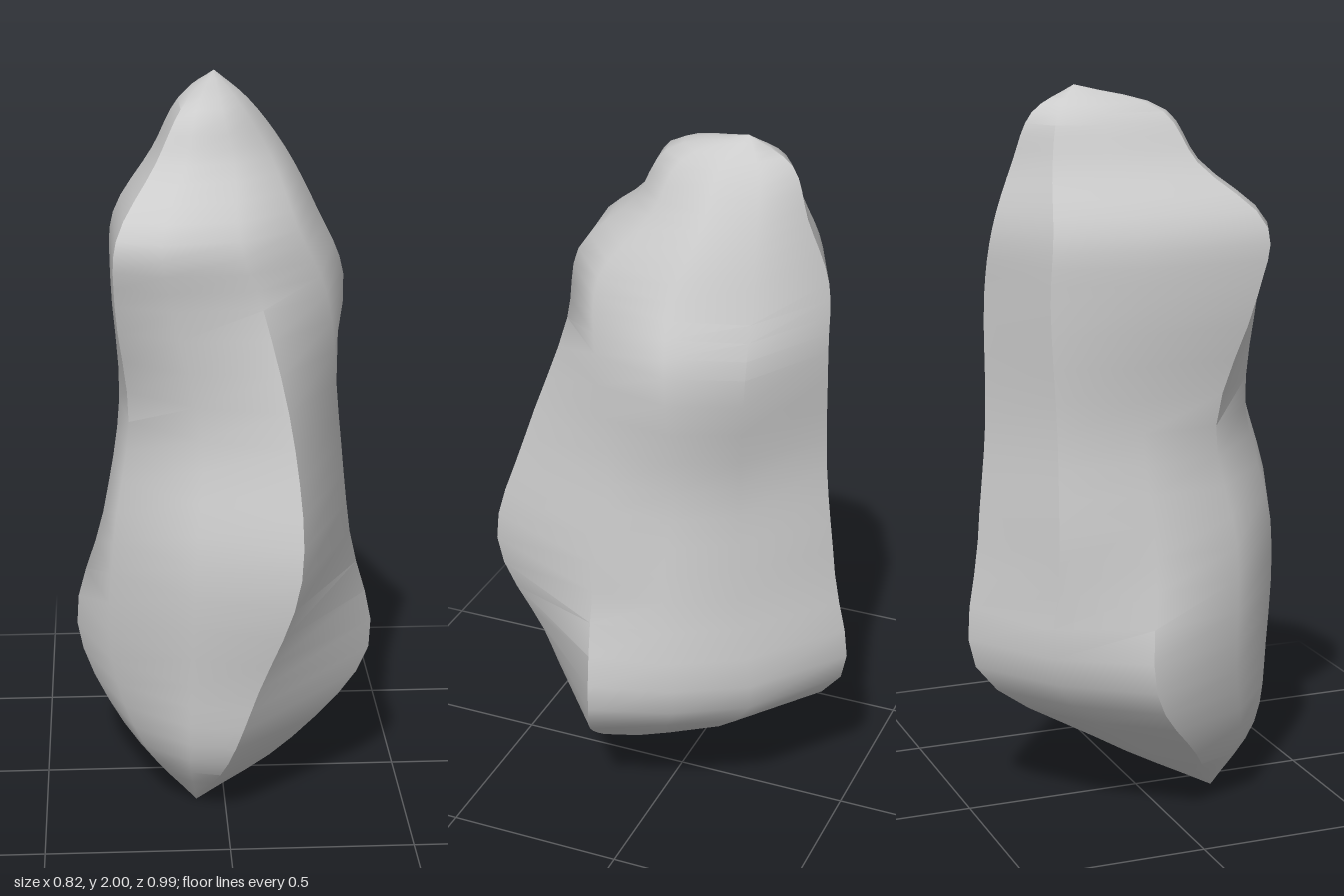
import * as THREE from 'three';
import { toCreasedNormals } from 'three/addons/utils/BufferGeometryUtils.js';

const { lerp, smoothstep } = THREE.MathUtils;

// Corner positions inside a section's bounds (0..1 in x and z), counter-clockwise from the front ridge
const FOOT_PLAN = [[0.6, 1], [1, 0.67], [0.91, 0.42], [0.78, 0.21], [0.48, 0], [0.2, 0.18], [0, 0.43], [0.12, 0.74], [0.38, 0.95]];
const LOWER_PLAN = [[0.76, 1], [1, 0.61], [0.98, 0.4], [0.84, 0.21], [0.5, 0], [0.07, 0.14], [0, 0.41], [0.04, 0.67], [0.36, 0.88]];
const UPPER_PLAN = [[0.58, 0.96], [0.87, 0.78], [1, 0.46], [0.9, 0.18], [0.51, 0], [0.12, 0.13], [0, 0.44], [0.01, 0.93], [0.22, 1]];

// Bounds at each height: y, right x, left x, back z, front z
const SECTIONS = [
  [0, -0.08, -0.08, 0.2, 0.2],
  [0.18, -0.28, 0.19, -0.14, 0.35],
  [0.42, -0.41, 0.41, -0.48, 0.405],
  [0.77, -0.33, 0.35, -0.46, 0.49],
  [1.1, -0.28, 0.32, -0.43, 0.4],
  [1.45, -0.3, 0.345, -0.425, 0.32],
  [1.63, -0.29, 0.27, -0.41, 0.315],
  [1.8, -0.18, 0.18, -0.35, 0.14],
  [1.93, -0.11, 0.08, -0.3, 0.06],
  [2, -0.01, -0.01, -0.18, -0.18],
];
const STEPS = (SECTIONS.length - 1) * 4;

// Smooth vertical line through the same corner of every section
function columnPoints(c) {
  const keys = SECTIONS.map(([y, x0, x1, z0, z1]) => {
    const [u, v] = [0, 1].map((axis) => {
      const low = lerp(FOOT_PLAN[c][axis], LOWER_PLAN[c][axis], smoothstep(y, 0.42, 0.77));
      return lerp(low, UPPER_PLAN[c][axis], smoothstep(y, 1.05, 1.6));
    });
    return new THREE.Vector3(lerp(x0, x1, u), y, lerp(z0, z1, v));
  });
  const curve = new THREE.CatmullRomCurve3(keys);
  return Array.from({ length: STEPS + 1 }, (_, i) => curve.getPoint(i / STEPS));
}

function rockGeometry() {
  const columns = LOWER_PLAN.map((_, c) => columnPoints(c));
  const positions = [];
  const triangle = (...corners) => corners.forEach((p) => positions.push(p.x, p.y, p.z));
  columns.forEach((a, c) => {
    const b = columns[(c + 1) % columns.length];
    // the first and last rows meet in single points
    for (let i = 0; i < STEPS; i++) {
      if (i > 0) triangle(a[i], b[i], b[i + 1]);
      if (i < STEPS - 1) triangle(a[i], b[i + 1], a[i + 1]);
    }
  });
  const geometry = new THREE.BufferGeometry();
  geometry.setAttribute('position', new THREE.Float32BufferAttribute(positions, 3));
  // keep the sharp ridges, smooth the worn faces
  return toCreasedNormals(geometry, 0.75);
}

export function createModel() {
  const model = new THREE.Group();
  model.name = 'standingRock';
  const rock = new THREE.Mesh(rockGeometry(), new THREE.MeshStandardMaterial({ color: 0xcccccc }));
  rock.name = 'rock';
  model.add(rock);
  return model;
}
